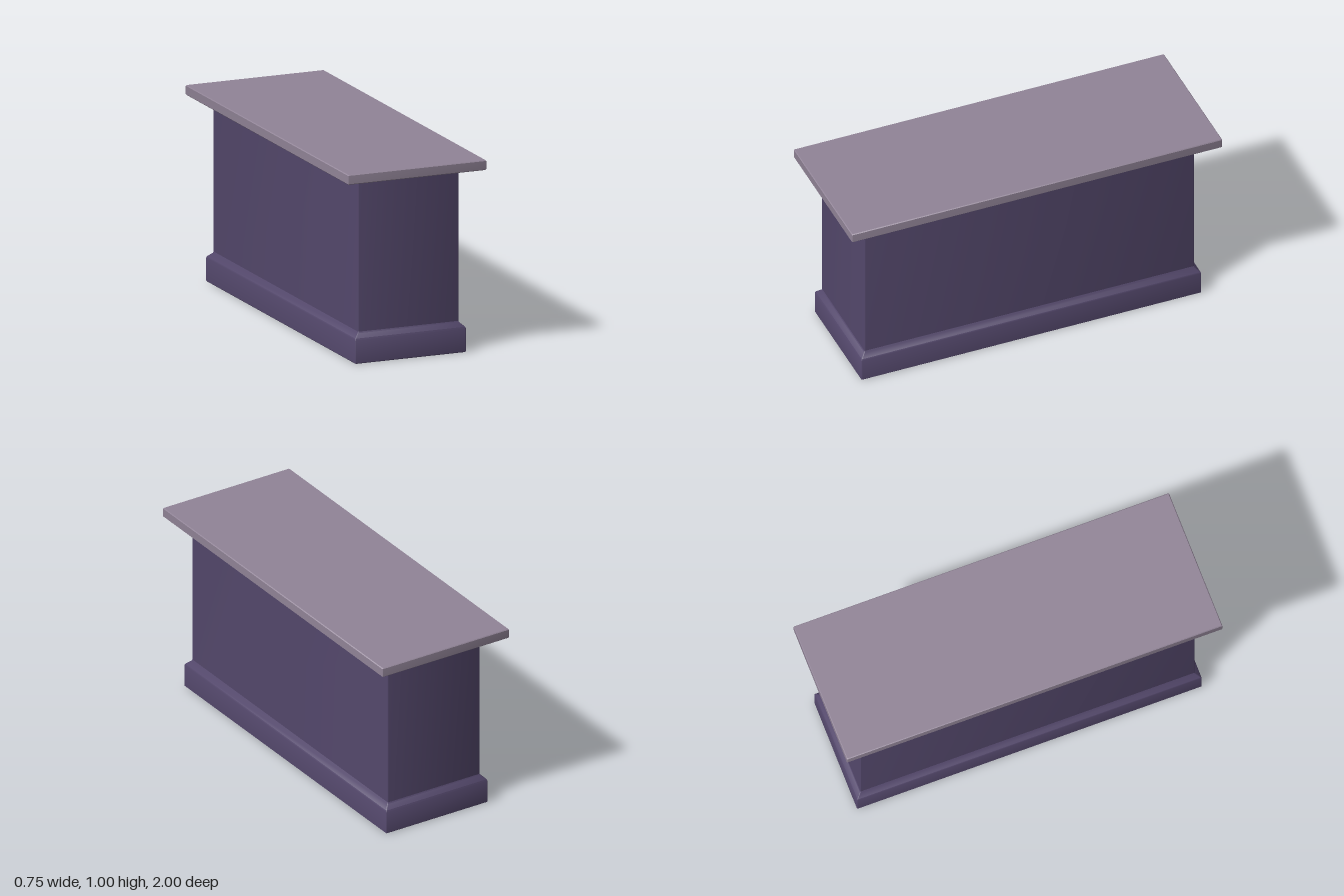
import * as THREE from 'three';
import { toCreasedNormals } from 'three/addons/utils/BufferGeometryUtils.js';

const EDGE = 0.004; // softened edge radius

// Rectangle outline with slightly rounded corners at height y
function ring(hx, hz, y) {
  const points = [];
  const signs = [[1, 1], [-1, 1], [-1, -1], [1, -1]];
  signs.forEach(([sx, sz], corner) => {
    for (let k = 0; k <= 3; k++) {
      const a = (corner + k / 3) * Math.PI / 2;
      points.push([sx * (hx - EDGE) + EDGE * Math.cos(a), y, sz * (hz - EDGE) + EDGE * Math.sin(a)]);
    }
  });
  return points;
}

// Closed solid lofted through a profile of [outset, y] steps
function loft(name, hx, hz, profile, color) {
  const rings = profile.map(([d, y]) => ring(hx + d, hz + d, y));
  const n = rings[0].length;
  const bottom = [0, profile[0][1], 0];
  const top = [0, profile[profile.length - 1][1], 0];
  const pos = [];
  for (let i = 0; i < n; i++) {
    const j = (i + 1) % n;
    for (let r = 0; r < rings.length - 1; r++) {
      const lo = rings[r], hi = rings[r + 1];
      pos.push(...lo[i], ...hi[i], ...lo[j], ...lo[j], ...hi[i], ...hi[j]);
    }
    const last = rings[rings.length - 1];
    pos.push(...bottom, ...rings[0][i], ...rings[0][j]);
    pos.push(...top, ...last[j], ...last[i]);
  }
  const geometry = new THREE.BufferGeometry();
  geometry.setAttribute('position', new THREE.Float32BufferAttribute(pos, 3));
  const mesh = new THREE.Mesh(toCreasedNormals(geometry, 0.6), new THREE.MeshStandardMaterial({ color }));
  mesh.name = name;
  return mesh;
}

// Plain block with softened top and bottom edges
const block = (y0, y1) => [[-EDGE, y0], [0, y0 + EDGE], [0, y1 - EDGE], [-EDGE, y1]];

export function createModel() {
  const group = new THREE.Group();
  group.name = 'counter';
  const purple = 0x54486c, mauve = 0x918497;

  // Skirting: upright face, then a sloped moulding meeting the body
  group.add(loft('skirting', 0.302, 0.918, [
    [-EDGE, 0], [0, EDGE], [0, 0.122], [-0.003, 0.13], [-0.025, 0.15], [-0.029, 0.16],
  ], purple));

  // Cabinet body
  group.add(loft('body', 0.274, 0.89, block(0.1, 0.948), purple));

  // Overhanging worktop
  group.add(loft('worktop', 0.377, 1, block(0.947, 0.998), mauve));

  return group;
}
